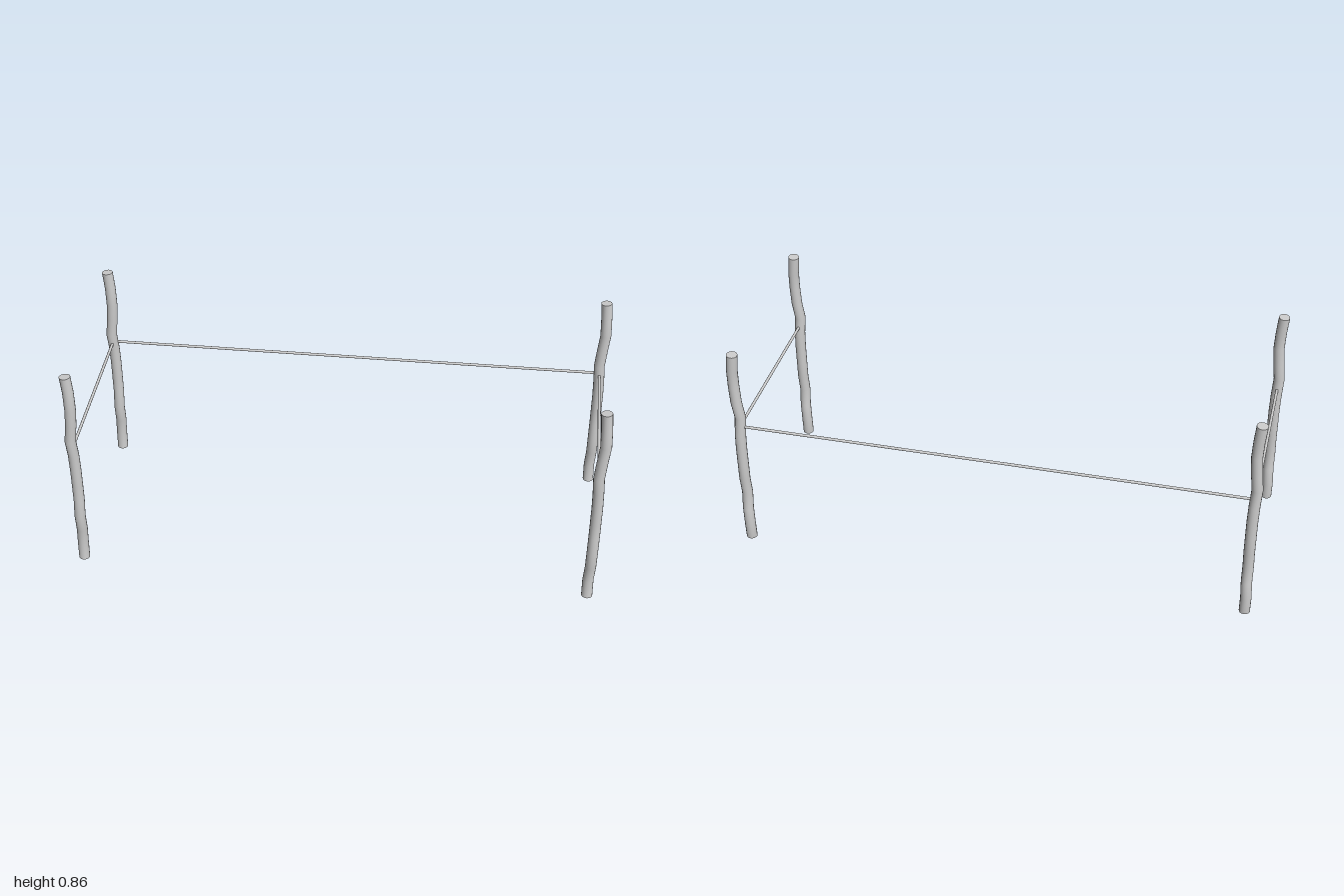
import * as THREE from 'three';

const RADIUS = 0.021;
const HEIGHT = 0.858;
const POST_X = 0.972;
const POST_Z = 0.354;
const RAIL_Y = 0.532;

// Sideways drift of the trunk at each of its 13 evenly spaced rings
const DRIFT_X = [-0.002, -0.003, 0.001, 0.001, 0.002, 0.002, 0.002, 0, -0.004, 0.003, 0.009, 0.006, 0];
const DRIFT_Z = [0, -0.007, 0, 0.009, 0, 0, 0, 0, 0.007, 0, 0.007, 0, 0];

const material = new THREE.MeshStandardMaterial({ color: 0xcccccc });

// Crooked trunk: a cylinder whose rings are shifted, with a slightly slanted top
function makePostGeometry() {
  const rings = DRIFT_X.length - 1;
  const geometry = new THREE.CylinderGeometry(RADIUS, RADIUS, HEIGHT, 16, rings);
  geometry.translate(0, HEIGHT / 2, 0);
  const p = geometry.attributes.position;
  for (let i = 0; i < p.count; i++) {
    const ring = Math.round((p.getY(i) / HEIGHT) * rings);
    const x = p.getX(i), z = p.getZ(i);
    const slant = ring === rings ? 0.06 * (x + z) : 0;
    p.setXYZ(i, x + DRIFT_X[ring], p.getY(i) + slant, z + DRIFT_Z[ring]);
  }
  geometry.computeVertexNormals();
  // Average the normals across the seam of the wall
  const n = geometry.attributes.normal;
  for (let r = 0; r <= rings; r++) {
    const a = r * 17, b = a + 16;
    const v = new THREE.Vector3().fromBufferAttribute(n, a)
      .add(new THREE.Vector3().fromBufferAttribute(n, b)).normalize();
    n.setXYZ(a, v.x, v.y, v.z);
    n.setXYZ(b, v.x, v.y, v.z);
  }
  return geometry;
}

// Thin round rail centred at a point, along x or z
function makeRail(name, length, x, z, alongX) {
  const geometry = new THREE.CylinderGeometry(0.0055, 0.0055, length, 10);
  if (alongX) geometry.rotateZ(Math.PI / 2);
  else geometry.rotateX(Math.PI / 2);
  const rail = new THREE.Mesh(geometry, material);
  rail.name = name;
  rail.position.set(x, RAIL_Y, z);
  return rail;
}

export function createModel() {
  const group = new THREE.Group();
  group.name = 'postAndRailFence';

  // Four identical corner posts
  const postGeometry = makePostGeometry();
  for (const [side, sx] of [['Left', 1], ['Right', -1]]) {
    for (const [end, sz] of [['front', 1], ['back', -1]]) {
      const post = new THREE.Mesh(postGeometry, material);
      post.name = `${end}${side}Post`;
      post.position.set(sx * POST_X - 0.003, 0, sz * POST_Z - 0.001);
      group.add(post);
    }
    // Side rail
    group.add(makeRail(`rail${side}`, POST_Z * 2, sx * POST_X - 0.004, -0.001, false));
  }

  // Long rail across the back
  group.add(makeRail('railBack', POST_X * 2, -0.004, -POST_Z, true));
  return group;
}
